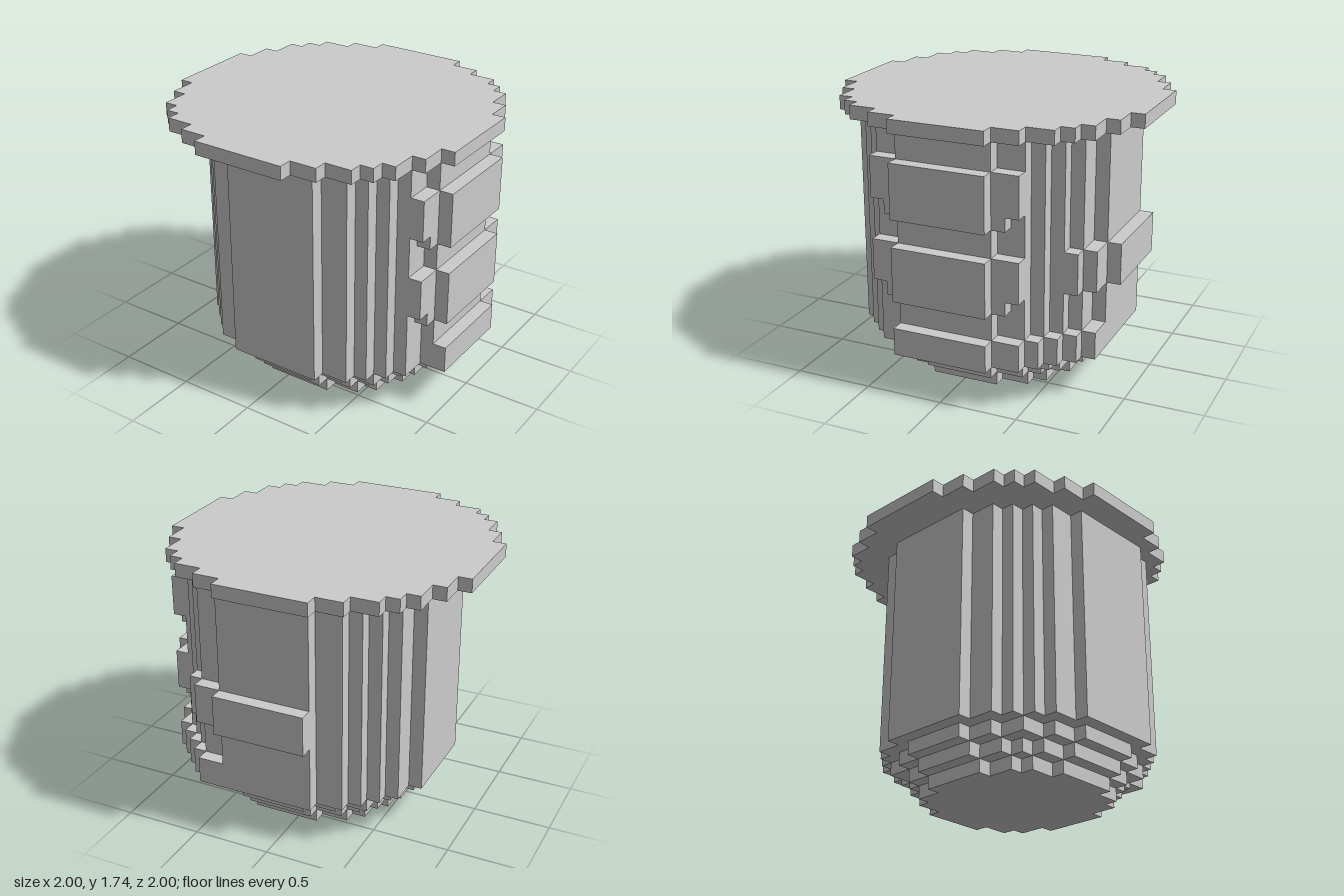
import * as THREE from 'three';
import { mergeGeometries } from 'three/addons/utils/BufferGeometryUtils.js';

const U = 2 / 23; // one block
const CX = 1;     // the pot sits one block to the left of the lid's centre

// Half width of a blocky disc of radius r at row k
const half = (r, k) => Math.floor(Math.sqrt(r * r - k * k)) + 0.5;

// Stepped disc of radius r between heights y0 and y1
function disc(r, y0, y1, cx) {
  const n = r - 0.5;
  const right = [];
  for (let k = -n; k <= n; k++) {
    const w = half(r, k);
    if (k > -n && half(r, k - 1) === w) right.pop();
    else right.push([w, k - 0.5]);
    right.push([w, k + 0.5]);
  }
  const left = right.map(([x, z]) => [-x, z]).reverse();
  const shape = new THREE.Shape([...right, ...left].map(([x, z]) => new THREE.Vector2(x + cx, z)));
  const g = new THREE.ExtrudeGeometry(shape, { depth: y1 - y0, bevelEnabled: false });
  return g.rotateX(Math.PI / 2).translate(0, y1, 0);
}

function box(x0, x1, y0, y1, z0, z1) {
  return new THREE.BoxGeometry(x1 - x0, y1 - y0, z1 - z0)
    .translate((x0 + x1) / 2 + CX, (y0 + y1) / 2, (z0 + z1) / 2);
}

// One-block-thick layer on the left of the pot, following its steps from row a to row b
function layer(a, b, y0, y1) {
  const parts = [];
  for (let k = a; k <= b; k++) {
    parts.push(box(half(9.5, k), half(10.5, k), y0, y1, k - 0.5, k + 0.5));
  }
  return parts;
}

export function createModel() {
  const model = new THREE.Group();
  const material = new THREE.MeshStandardMaterial({ color: 0xcccccc, flatShading: true });

  const add = (name, geometries) => {
    const g = mergeGeometries(geometries.map((q) => q.toNonIndexed ? (q.index ? q.toNonIndexed() : q) : q));
    const mesh = new THREE.Mesh(g.scale(U, U, U), material);
    mesh.name = name;
    model.add(mesh);
  };

  // Lid and pot body
  add('lid', [disc(11.5, 19, 20, 0)]);
  add('body', [disc(9.5, 3, 19, CX)]);

  // Base narrowing in three steps
  for (let i = 0; i < 3; i++) add('baseStep' + (i + 1), [disc(6.5 + i, i, i + 1, CX)]);

  // Two raised bands on the side, their ends cut short at the bottom
  for (const [name, y] of [['lowerSideBand', 7], ['upperSideBand', 13]]) {
    add(name, [
      ...layer(-4, 4, y, y + 4),
      ...layer(-5, -5, y + 1, y + 4),
      ...layer(5, 5, y + 1, y + 4),
    ]);
  }

  // Bottom band wrapping round the back corner
  add('bottomBand', layer(-9, 3, 3, 5));

  // Raised band on the back
  add('backBand', [box(-3.5, 3.5, 8, 11, -10.5, -9.5), ...layer(-9, -8, 8, 11)]);

  return model;
}
